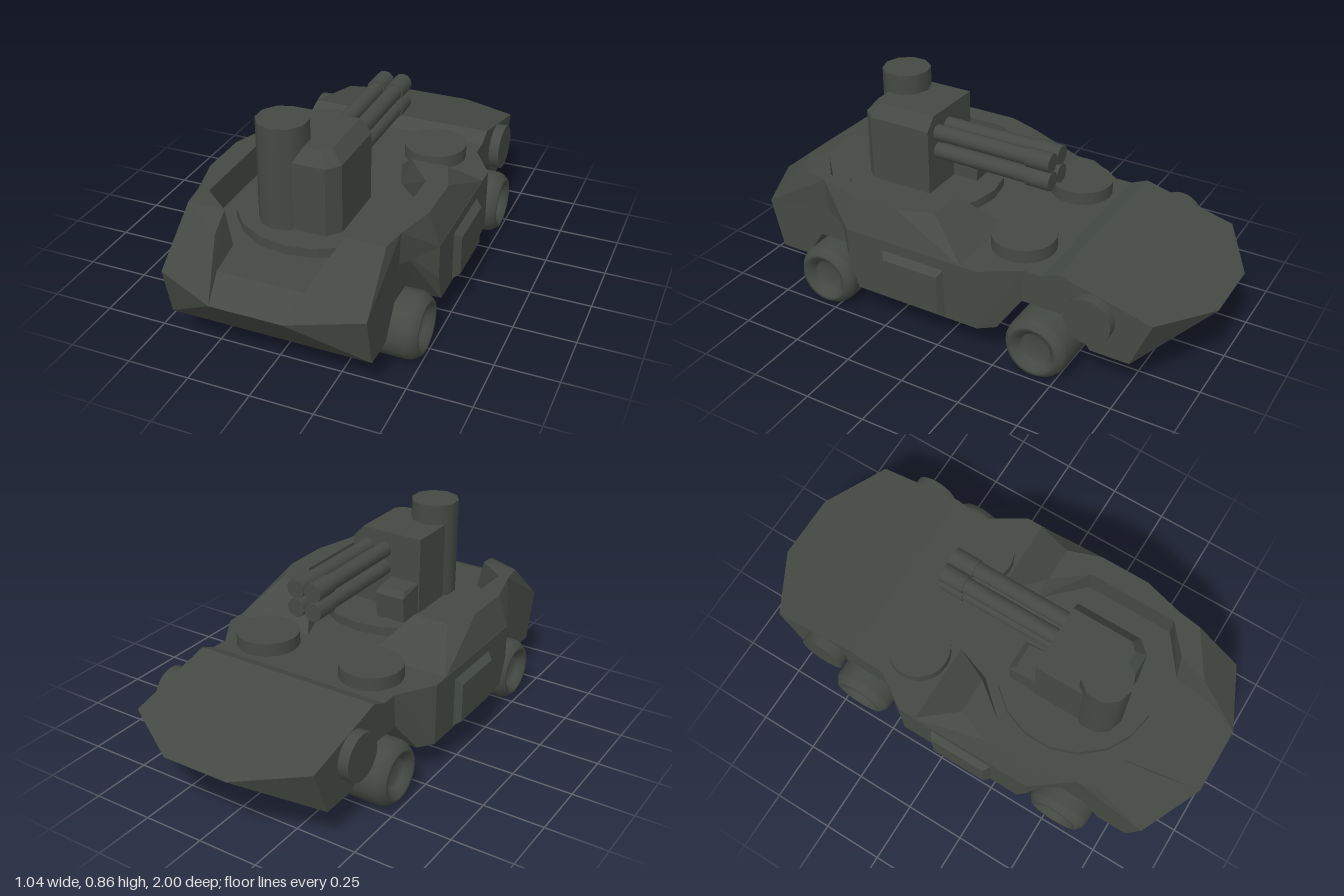
import * as THREE from 'three';
import { ConvexGeometry } from 'three/addons/geometries/ConvexGeometry.js';

export function createModel() {
  const model = new THREE.Group();
  const armour = new THREE.MeshStandardMaterial({ color: 0x444a43 });
  armour.name = 'armour green';

  const add = (name, geometry, x = 0, y = 0, z = 0, parent = model) => {
    const mesh = new THREE.Mesh(geometry, armour);
    mesh.name = name;
    mesh.position.set(x, y, z);
    parent.add(mesh);
    return mesh;
  };
  // Faceted solid wrapped around corner points
  const solid = (name, pts, parent) =>
    add(name, new ConvexGeometry(pts.map(p => new THREE.Vector3(...p))), 0, 0, 0, parent);
  const flip = pts => pts.map(([x, y, z]) => [-x, y, z]);
  const symmetric = (name, pts) => solid(name, [...pts, ...flip(pts)]);
  const pair = (name, pts) => {
    solid(name + 'Left', pts);
    solid(name + 'Right', flip(pts));
  };

  // Lower hull, cut right across by the wheel arches
  symmetric('hullTail', [
    [0.14, 0.35, 1], [0.4, 0.35, 0.88], [0.4, 0.145, 0.83], [0.4, 0.145, 0.7],
    [0.4, 0.265, 0.62], [0.4, 0.405, 0.62], [0.4, 0.405, 0.8], [0.175, 0.405, 0.87],
  ]);
  symmetric('hullOverTailArch', [
    [0.4, 0.265, 0.63], [0.4, 0.405, 0.63], [0.4, 0.265, 0.42], [0.4, 0.405, 0.42],
  ]);
  symmetric('hullMiddle', [
    [0.495, 0.145, 0.37], [0.495, 0.265, 0.41], [0.495, 0.405, 0.41],
    [0.4, 0.265, 0.44], [0.4, 0.405, 0.52],
    [0.495, 0.145, -0.18], [0.495, 0.405, -0.18], [0.45, 0.145, -0.24],
    [0.4, 0.265, -0.32], [0.4, 0.405, -0.33],
  ]);
  symmetric('hullOverNoseArch', [
    [0.4, 0.265, -0.3], [0.4, 0.405, -0.3], [0.4, 0.265, -0.53], [0.4, 0.405, -0.53],
  ]);
  symmetric('hullNose', [
    [0.4, 0.405, -0.4], [0.4, 0.435, -0.47], [0.4, 0.342, -0.85], [0.14, 0.305, -1],
    [0.4, 0.145, -0.77], [0.4, 0.145, -0.61], [0.4, 0.265, -0.52],
  ]);

  // Raised shoulders on either side of the turret well
  pair('shoulderFront', [
    [0.145, 0.4, -0.115], [0.495, 0.4, -0.115], [0.495, 0.4, 0.2], [0.36, 0.4, 0.2], [0.2, 0.4, 0.04],
    [0.25, 0.535, 0.06], [0.4, 0.535, 0.06], [0.45, 0.535, 0.2], [0.36, 0.535, 0.2],
  ]);
  pair('shoulderMiddle', [
    [0.36, 0.4, 0.2], [0.495, 0.4, 0.2], [0.495, 0.4, 0.41], [0.36, 0.4, 0.41],
    [0.36, 0.535, 0.2], [0.45, 0.535, 0.2], [0.45, 0.535, 0.41], [0.36, 0.535, 0.41],
  ]);
  pair('shoulderTaper', [
    [0.36, 0.4, 0.41], [0.495, 0.4, 0.41], [0.4, 0.4, 0.53], [0.4, 0.4, 0.58], [0.36, 0.4, 0.58],
    [0.36, 0.535, 0.41], [0.45, 0.535, 0.41], [0.405, 0.535, 0.58], [0.36, 0.535, 0.58],
  ]);
  pair('shoulderTail', [
    [0.36, 0.4, 0.58], [0.4, 0.4, 0.58], [0.2, 0.4, 0.7], [0.4, 0.35, 0.88], [0.14, 0.35, 1],
    [0.36, 0.535, 0.58], [0.405, 0.535, 0.58], [0.39, 0.535, 0.68], [0.24, 0.535, 0.68], [0.215, 0.505, 0.8],
  ]);

  // Parts that repeat on both sides
  for (const side of [1, -1]) {
    const label = side > 0 ? 'Left' : 'Right';
    solid('sideDoor' + label, [[0.49, 0.15, 0.365, 0.25, -0.037], [0.522, 0.172, 0.337, 0.225, -0.017]]
      .flatMap(([x, y0, y1, z0, z1]) =>
        [[x, y0, z0], [x, y1, z0], [x, y0, z1], [x, y1, z1]].map(([a, b, c]) => [a * side, b, c])));

    add('deckHatch' + label, new THREE.CylinderGeometry(0.128, 0.128, 0.07, 24), 0.245 * side, 0.425, -0.245);

    const lamp = add('sideDisc' + label, new THREE.CylinderGeometry(0.096, 0.096, 0.06, 24), 0.413 * side, 0.3, -0.61);
    lamp.rotation.z = Math.PI / 2;

    // Wide wheels with a dished hub
    for (const [end, z] of [['tail', 0.545], ['nose', -0.42]]) {
      const profile = [
        [0, 0], [0.128, 0], [0.13, 0.004], [0.13, 0.24], [0.125, 0.257], [0.106, 0.281],
        [0.092, 0.281], [0.065, 0.255], [0.062, 0.235], [0, 0.235],
      ].map(([r, h]) => new THREE.Vector2(r, h));
      const wheel = add(end + 'Wheel' + label, new THREE.LatheGeometry(profile, 28), 0.007 + 0.213 * side, 0.13, z);
      wheel.rotation.z = -side * Math.PI / 2;
    }
  }

  // Turret
  const turret = new THREE.Group();
  turret.name = 'turret';
  model.add(turret);
  add('turretRing', new THREE.CylinderGeometry(0.325, 0.325, 0.06, 18), 0, 0.413, 0.357, turret);
  solid('turretBody', [
    [-0.165, 0.44, 0.245], [0.155, 0.44, 0.245], [0.155, 0.44, 0.52], [0.11, 0.44, 0.57],
    [-0.13, 0.44, 0.57], [-0.165, 0.44, 0.53],
    [-0.165, 0.77, 0.245], [0.11, 0.772, 0.245], [0.155, 0.72, 0.245],
    [0.155, 0.72, 0.52], [0.11, 0.72, 0.57], [-0.13, 0.72, 0.57], [-0.165, 0.72, 0.53],
    [0.11, 0.772, 0.5], [0.08, 0.772, 0.53], [-0.13, 0.772, 0.53], [-0.165, 0.77, 0.5],
  ], turret);
  add('sightColumn', new THREE.CylinderGeometry(0.1, 0.1, 0.415, 10), -0.085, 0.6475, 0.5, turret);
  solid('sightBox', [
    [-0.16, 0.44, 0.135], [-0.03, 0.44, 0.135], [-0.16, 0.55, 0.125], [-0.03, 0.55, 0.125],
    [-0.15, 0.577, 0.15], [-0.04, 0.577, 0.15],
    [-0.16, 0.44, 0.26], [-0.03, 0.44, 0.26], [-0.16, 0.577, 0.26], [-0.03, 0.577, 0.26],
  ], turret);

  // Four gun barrels with thicker muzzles
  for (const x of [0.005, 0.083]) {
    for (const y of [0.612, 0.692]) {
      const barrel = add('gunBarrel', new THREE.CylinderGeometry(0.033, 0.033, 0.45, 12), x, y, 0.05, turret);
      const muzzle = add('gunMuzzle', new THREE.CylinderGeometry(0.039, 0.039, 0.105, 12), x, y, -0.222, turret);
      barrel.rotation.x = muzzle.rotation.x = Math.PI / 2;
    }
  }
  return model;
}
